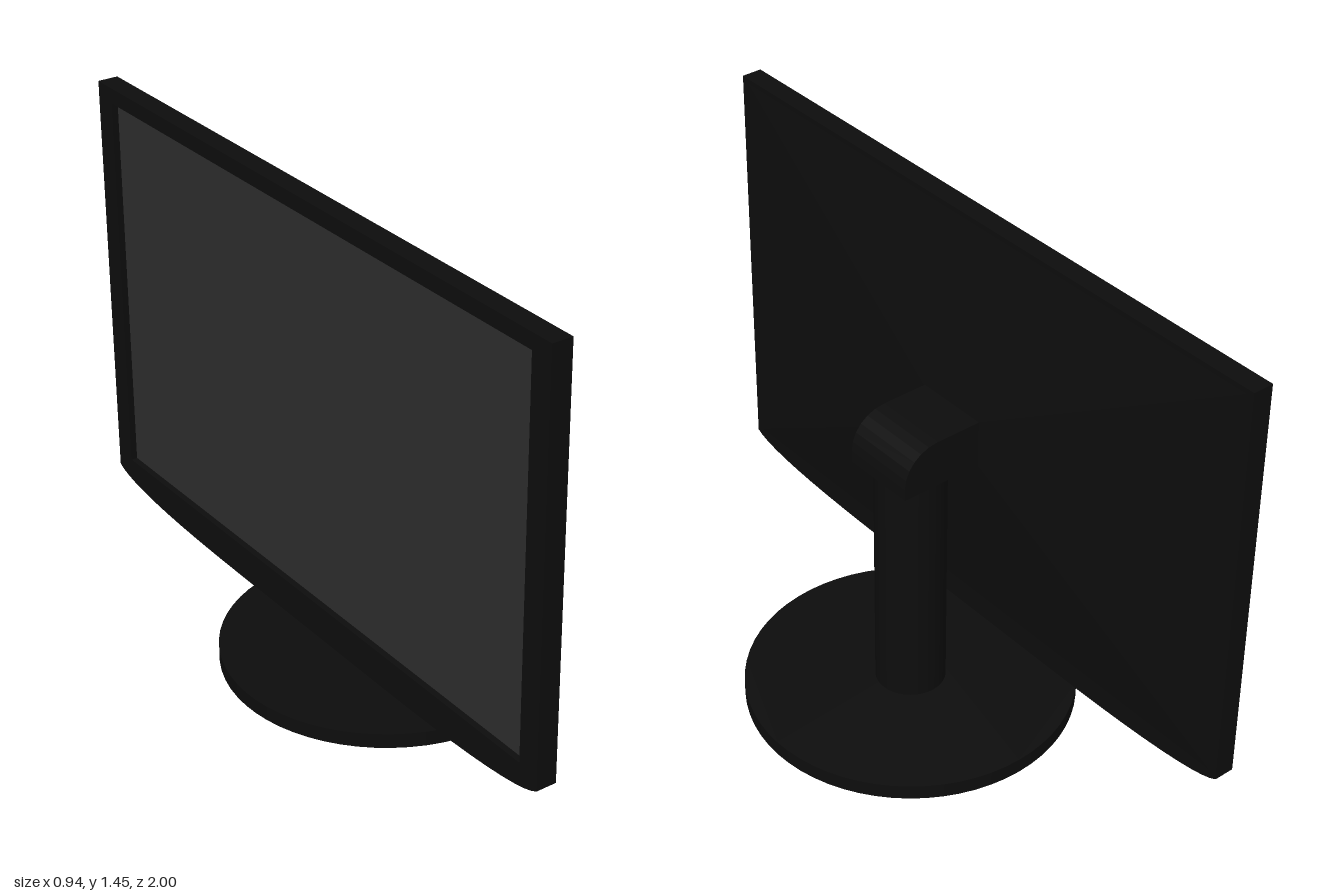
import * as THREE from 'three';

const black = new THREE.MeshStandardMaterial({ color: 0x0d0d0d });
const glass = new THREE.MeshStandardMaterial({ color: 0x2e2e2e });
const AXIS_Z = -0.005; // stand axis

function part(name, geometry, material = black) {
  const mesh = new THREE.Mesh(geometry, material);
  mesh.name = name;
  return mesh;
}

// Outline of the display, drawn in (z, y), with a softly bowed bottom edge
function panelOutline() {
  const s = new THREE.Shape();
  s.moveTo(-1, 1.45);
  s.lineTo(-1, 0.235);
  s.bezierCurveTo(-0.95, 0.2, -0.75, 0.178, -0.35, 0.178);
  s.lineTo(0.35, 0.178);
  s.bezierCurveTo(0.75, 0.178, 0.95, 0.2, 1, 0.235);
  s.lineTo(1, 1.45);
  s.closePath();
  return s;
}

// Extrude a (z, y) shape towards -x, starting at x
function slab(shape, x, depth) {
  return new THREE.ExtrudeGeometry(shape, { depth, bevelEnabled: false, curveSegments: 10 })
    .rotateY(-Math.PI / 2).translate(x, 0, 0);
}

// Shallow pyramid on the back, tapering from the panel to the stand head
function backGeometry() {
  const box = new THREE.BoxGeometry(1, 1, 1);
  const p = box.attributes.position;
  for (let i = 0; i < p.count; i++) {
    const outer = p.getX(i) > 0;
    const top = p.getY(i) > 0;
    const side = Math.sign(p.getZ(i));
    if (outer) p.setXYZ(i, -0.14, top ? 0.91 : 0.77, side * 0.115);
    else p.setXYZ(i, -0.212, top ? 1.45 : 0.235, side);
  }
  const g = box.toNonIndexed();
  g.computeVertexNormals();
  return g;
}

export function createModel() {
  const model = new THREE.Group();
  model.name = 'monitor';

  // Display: solid rear shell, raised bezel and recessed screen facing -x
  const display = new THREE.Group();
  display.name = 'display';
  display.add(part('panelShell', slab(panelOutline(), -0.21, 0.04)));
  const frame = panelOutline();
  const opening = [[-0.93, 0.28], [0.93, 0.28], [0.93, 1.405], [-0.93, 1.405]];
  frame.holes.push(new THREE.Path(opening.map(([z, y]) => new THREE.Vector2(z, y))));
  display.add(part('bezel', slab(frame, -0.25, 0.02)));
  const screen = part('screen', new THREE.PlaneGeometry(1.86, 1.125).rotateY(-Math.PI / 2), glass);
  screen.position.set(-0.252, 0.8425, 0);
  display.add(screen, part('taperedBack', backGeometry()));
  model.add(display);

  // Stand head: block with a rounded upper rear edge
  const head = new THREE.Shape();
  head.moveTo(-0.145, 0.77);
  head.lineTo(0.11, 0.77);
  head.lineTo(0.11, 0.805);
  head.bezierCurveTo(0.11, 0.865, 0.062, 0.91, 0, 0.91);
  head.lineTo(-0.145, 0.91);
  head.closePath();
  const headGeometry = new THREE.ExtrudeGeometry(head, { depth: 0.225, bevelEnabled: false, curveSegments: 6 });
  model.add(part('standHead', headGeometry.translate(0, 0, AXIS_Z - 0.1125)));

  // Column, passing through the base
  const column = part('column', new THREE.CylinderGeometry(0.1, 0.1, 0.8, 32));
  column.position.set(0, 0.4, AXIS_Z);
  model.add(column);

  // Round base with a hole for the column
  const disc = new THREE.Shape().absarc(0, 0, 0.47, 0, Math.PI * 2);
  disc.holes.push(new THREE.Path().absarc(0, 0, 0.1, 0, Math.PI * 2, true));
  const base = part('base', new THREE.ExtrudeGeometry(disc, { depth: 0.044, bevelEnabled: false, curveSegments: 32 }));
  base.rotation.x = -Math.PI / 2;
  base.position.z = AXIS_Z;
  model.add(base);

  return model;
}
